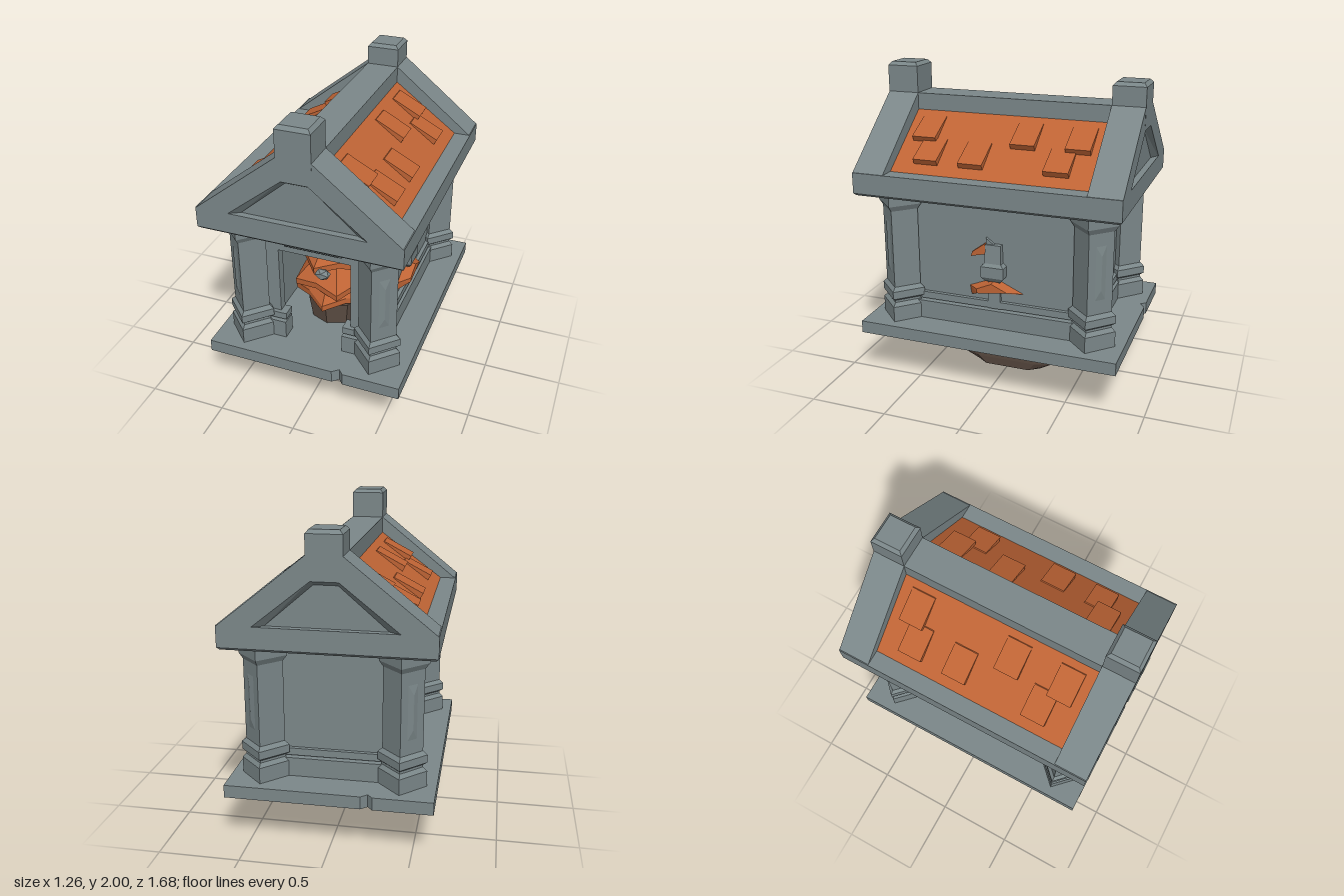
import * as THREE from 'three';

const stone = new THREE.MeshStandardMaterial({ color: 0x7b8789 });
stone.name = 'stone';
const clay = new THREE.MeshStandardMaterial({ color: 0xbf6435 });
clay.name = 'orange clay';
const earth = new THREE.MeshStandardMaterial({ color: 0x5e4e44 });
earth.name = 'brown earth';

// Flat-faced skin through a stack of rings (counter-clockwise seen from the far end)
function loft(rings, caps = true) {
  const pos = [];
  const tri = (a, b, c) => pos.push(...a, ...b, ...c);
  const n = rings[0].length;
  for (let k = 0; k + 1 < rings.length; k++) {
    const lo = rings[k], hi = rings[k + 1];
    for (let i = 0; i < n; i++) {
      const j = (i + 1) % n;
      tri(lo[i], lo[j], hi[j]);
      tri(lo[i], hi[j], hi[i]);
    }
  }
  if (caps) {
    const bottom = rings[0], top = rings[rings.length - 1];
    for (let i = 1; i + 1 < n; i++) {
      tri(bottom[0], bottom[i + 1], bottom[i]);
      tri(top[0], top[i], top[i + 1]);
    }
  }
  const g = new THREE.BufferGeometry();
  g.setAttribute('position', new THREE.Float32BufferAttribute(pos, 3));
  g.computeVertexNormals();
  return g;
}

const rect = (hx, hz, y) => [[hx, y, hz], [hx, y, -hz], [-hx, y, -hz], [-hx, y, hz]];
const diamond = (r, y) => [[0, y, r], [r, y, 0], [0, y, -r], [-r, y, 0]];
// Rectangle with cut corners: ex is the half width of its ends, ez the half length of its sides
const octagon = (hx, hz, ex, ez, y) => [
  [hx, y, ez], [hx, y, -ez], [ex, y, -hz], [-ex, y, -hz],
  [-hx, y, -ez], [-hx, y, ez], [-ex, y, hz], [ex, y, hz]];

function extrude(points, depth, hole) {
  const toV = (p) => p.map(([x, y]) => new THREE.Vector2(x, y));
  const shape = new THREE.Shape(toV(points));
  if (hole) shape.holes.push(new THREE.Path(toV(hole)));
  return new THREE.ExtrudeGeometry(shape, { depth, bevelEnabled: false });
}

export function createModel() {
  const model = new THREE.Group();
  const add = (name, geo, mat, x = 0, y = 0, z = 0, parent = model) => {
    const m = new THREE.Mesh(geo, mat);
    m.name = name;
    m.position.set(x, y, z);
    parent.add(m);
    return m;
  };
  const box = (name, mat, w, h, d, x, y, z, parent) =>
    add(name, new THREE.BoxGeometry(w, h, d), mat, x, y, z, parent);

  // Clump of earth and footing
  add('earthClump', loft([
    octagon(0.2, 0.22, 0.15, 0.15, 0),
    octagon(0.215, 0.315, 0.17, 0.2, 0.06),
    octagon(0.24, 0.345, 0.19, 0.22, 0.22)]), earth);
  box('footing', stone, 0.84, 0.1, 0.84, 0, 0.27, 0);
  box('footingUnderside', earth, 0.84, 0.006, 0.84, 0, 0.217, 0);

  // Floor slab with a chipped notch in the front and back edges
  const slab = extrude([
    [-0.63, -0.84], [-0.27, -0.84], [-0.24, -0.805], [-0.2, -0.84], [0.63, -0.84],
    [0.63, 0.84], [0.27, 0.84], [0.24, 0.805], [0.2, 0.84], [-0.63, 0.84]], 0.08);
  slab.rotateX(Math.PI / 2);
  add('floorSlab', slab, stone, 0, 0.4, 0);

  // Walls with an open doorway
  add('frontWall', extrude([
    [-0.4, 0.4], [-0.235, 0.4], [-0.235, 1.04], [0.235, 1.04],
    [0.235, 0.4], [0.4, 0.4], [0.4, 1.26], [-0.4, 1.26]], 0.06), stone, 0, 0, 0.54);
  box('backWall', stone, 0.8, 0.86, 0.06, 0, 0.83, -0.57);
  for (const s of [-1, 1]) box('sideWall', stone, 0.06, 0.86, 1.2, s * 0.37, 0.83, 0);

  // Two-step plinth at the wall foot
  for (const [h, y, out] of [[0.12, 0.46, 0.04], [0.045, 0.555, 0.025]]) {
    for (const s of [-1, 1]) {
      box('sidePlinth', stone, out, h, 1.2, s * (0.4 + out / 2), y, 0);
      box('frontPlinth', stone, 0.22, h, out + 0.06, s * 0.3, y, 0.54 + (out + 0.06) / 2);
    }
    box('backPlinth', stone, 0.8, h, out, 0, y, -0.6 - out / 2);
  }

  // Bevelled plaque above the door
  const plaque = loft([rect(0.185, 0.05, 0), rect(0.185, 0.05, 0.025), rect(0.165, 0.032, 0.045)]);
  plaque.rotateX(Math.PI / 2);
  add('doorPlaque', plaque, stone, 0, 1.14, 0.595);

  // Corner columns set diagonally, each with a bevelled panel on its outer face
  const columnGeo = loft([
    [0.15, 0.4], [0.15, 0.5], [0.125, 0.525], [0.125, 0.54], [0.15, 0.555], [0.15, 0.605],
    [0.122, 0.63], [0.122, 1.14], [0.148, 1.175], [0.148, 1.26]].map(([r, y]) => diamond(r, y)));
  const panelGeo = loft([
    [[-0.035, 0.72, 0], [0.035, 0.72, 0], [0.035, 1.06, 0], [-0.035, 1.06, 0]],
    [[-0.002, 0.78, 0.009], [0.002, 0.78, 0.009], [0.002, 1.0, 0.009], [-0.002, 1.0, 0.009]]]);
  for (const sx of [-1, 1]) for (const sz of [-1, 1]) {
    const column = new THREE.Group();
    column.name = 'column';
    column.position.set(sx * 0.42, 0, sz * 0.634);
    column.rotation.y = Math.atan2(sx, sz);
    model.add(column);
    add('columnShaft', columnGeo, stone, 0, 0, 0, column).rotation.y = Math.PI / 4;
    add('columnPanel', panelGeo, stone, 0, 0, 0.0865, column);
  }

  // Eaves block, roof planes and ridge
  add('eaves', loft([rect(0.615, 0.825, 1.25), rect(0.63, 0.84, 1.265), rect(0.63, 0.84, 1.395)]), stone);
  add('roof', extrude([[-0.53, 1.39], [0.53, 1.39], [0.105, 1.705], [-0.105, 1.705]], 1.28), clay, 0, 0, -0.64);
  box('ridge', stone, 0.21, 0.16, 1.28, 0, 1.73, 0);

  // Raised wedge tiles: side, upper or lower row, centre z
  const roofY = (x) => 1.705 - (x - 0.105) * 0.735;
  const tile = (x0, x1) => extrude([
    [x0, roofY(x0) - 0.005], [x1 - 0.02, roofY(x1 - 0.02) - 0.005],
    [x1, roofY(x1) + 0.045], [x0 + 0.01, roofY(x0 + 0.01) + 0.006]], 0.155);
  const upper = tile(0.14, 0.335), lower = tile(0.29, 0.48);
  const rows = [
    [1, upper, [-0.495, -0.15, 0.495]], [1, lower, [-0.405, 0.13, 0.425]],
    [-1, upper, [-0.49, 0.15, 0.495]], [-1, lower, [-0.425, -0.125, 0.405]]];
  for (const [s, geo, list] of rows) for (const z of list) {
    const t = add('roofTile', geo, clay, 0, 0, z - s * 0.0775);
    if (s < 0) t.rotation.y = Math.PI;
  }

  // Gables with a recessed pediment and a square pillar on top
  const outline = [[-0.63, 1.27], [0.63, 1.27], [0.63, 1.39], [0.105, 1.81], [-0.105, 1.81], [-0.63, 1.39]];
  const outer = [[-0.45, 1.372], [0.45, 1.372], [0.08, 1.668], [-0.08, 1.668]];
  const inner = [[-0.37, 1.382], [0.37, 1.382], [0.07, 1.642], [-0.07, 1.642]];
  for (const [turn, top] of [[0, 2], [Math.PI, 1.95]]) {
    const gable = new THREE.Group();
    gable.name = 'gable';
    gable.rotation.y = turn;
    model.add(gable);
    add('gableBlock', extrude(outline, 0.165), stone, 0, 0, 0.635, gable);
    add('gableFrame', extrude(outline, 0.04, outer), stone, 0, 0, 0.8, gable);
    add('pedimentBevel', loft([
      outer.map(([x, y]) => [x, y, 0.84]), inner.map(([x, y]) => [x, y, 0.801])], false), stone, 0, 0, 0, gable);
    add('gablePillar', loft([
      rect(0.105, 0.1025, 1.7), rect(0.105, 0.1025, top - 0.022), rect(0.085, 0.083, top)]),
    stone, 0, 0, 0.7385, gable);
  }

  // Contents: brown tub with tiers of jagged orange leaves
  add('tub', new THREE.CylinderGeometry(0.19, 0.165, 0.16, 8).toNonIndexed(), earth, 0, 0.48, 0.25)
    .geometry.computeVertexNormals();
  const star = (r, y, droop, turn) => Array.from({ length: 10 }, (_, i) => {
    const a = i * Math.PI / 5 + turn, q = i % 2 ? 0.8 : 1;
    return [Math.sin(a) * r * q, y + (i % 2 ? 0 : -droop), Math.cos(a) * r * q];
  });
  [[0.56, 0.27, 0.28, 0], [0.66, 0.28, 0.24, 0.35], [0.84, 0.27, 0.24, -0.2]].forEach(([y, r, h, turn]) =>
    add('leafTier', loft([
      star(r * 0.6, y + 0.02, 0, turn), star(r, y + 0.02, 0.03, turn),
      star(r, y + 0.06, 0.03, turn), star(0.08, y + h, 0, turn)]), clay, 0, 0, 0.22));
  const bud = add('stoneBud', new THREE.IcosahedronGeometry(0.05, 0), stone, 0, 0.83, 0.47);
  bud.scale.set(1.1, 0.8, 0.8);

  // Wall ornaments: stone lamp with a spread leaf and a small spike
  for (const s of [-1, 1]) {
    const lamp = new THREE.Group();
    lamp.name = 'wallOrnament';
    lamp.position.x = s * 0.4;
    lamp.rotation.y = s > 0 ? Math.PI / 2 : -Math.PI / 2;
    model.add(lamp);
    add('lampBody', loft([
      [0.05, 0.03, 0.72], [0.075, 0.05, 0.75], [0.075, 0.05, 0.82], [0.055, 0.035, 0.84],
      [0.05, 0.025, 0.96]].map((p) => rect(...p))), stone, 0, 0, 0.01, lamp);
    add('lampTip', extrude([[-0.05, 0.94], [0.03, 0.94], [-0.05, 1.0]], 0.02), stone, 0, 0, 0.005, lamp);
    box('lampStem', stone, 0.08, 0.2, 0.03, 0, 0.63, 0.01, lamp);
    add('spreadLeaf', loft([
      [[-0.16, 0.6, 0], [0.0, 0.675, 0], [0.19, 0.645, 0], [0, 0.73, 0], [-0.17, 0.66, 0]],
      [[-0.1, 0.64, 0.07], [0.0, 0.685, 0.07], [0.1, 0.67, 0.07], [0, 0.715, 0.07], [-0.1, 0.67, 0.07]]]),
    clay, 0, 0, 0, lamp);
    add('leafSpike', extrude([[-0.15, 0.87], [-0.03, 0.9], [-0.06, 0.96], [-0.14, 0.9]], 0.03), clay, 0, 0, 0, lamp);
  }
  return model;
}
